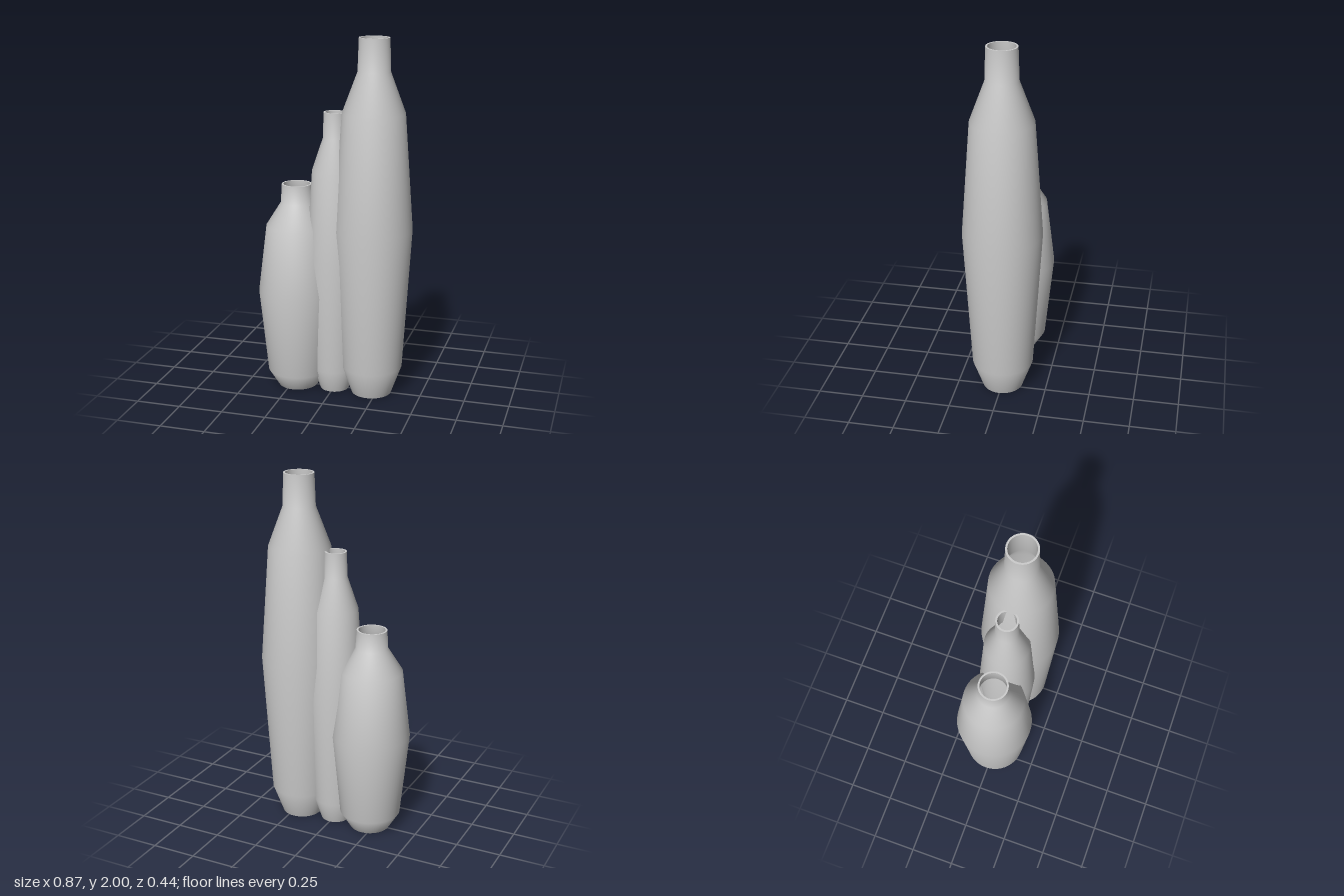
import * as THREE from 'three';

const WALL = 0.01;

export function createModel() {
  const clay = new THREE.MeshStandardMaterial({ color: 0xcccccc });
  clay.name = 'greyClay';

  // Revolve a list of [radius, height] points
  const lathe = (name, points) => {
    const profile = points.map(([r, y]) => new THREE.Vector2(r, y));
    const mesh = new THREE.Mesh(new THREE.LatheGeometry(profile, 64), clay);
    mesh.name = name;
    return mesh;
  };

  // Hollow bottle: separate surfaces keep the lip and foot edges sharp
  const bottle = (name, x, outer) => {
    const group = new THREE.Group();
    group.name = name;
    group.position.x = x;
    const foot = outer[0];
    const lip = outer[outer.length - 1];
    const inner = outer.map(([r, y], i) => [r - WALL, i === 0 ? WALL : y]).reverse();
    group.add(
      lathe('body', outer),
      lathe('rim', [lip, [lip[0] - WALL, lip[1]]]),
      lathe('innerWall', inner),
      lathe('innerFloor', [[foot[0] - WALL, WALL], [0, WALL]]),
      lathe('base', [[0, 0], foot]),
    );
    return group;
  };

  const model = new THREE.Group();
  model.name = 'bottleTrio';
  model.add(
    bottle('tallBottle', 0.217, [
      [0.112, 0], [0.17, 0.16], [0.218, 0.96], [0.171, 1.6], [0.089, 1.82], [0.083, 2],
    ]),
    bottle('slimBottle', 0, [
      [0.081, 0], [0.123, 0.13], [0.157, 0.77], [0.124, 1.275], [0.064, 1.455], [0.06, 1.595],
    ]),
    bottle('shortBottle', -0.218, [
      [0.112, 0], [0.17, 0.095], [0.218, 0.57], [0.171, 0.95], [0.089, 1.08], [0.083, 1.185],
    ]),
  );
  return model;
}
